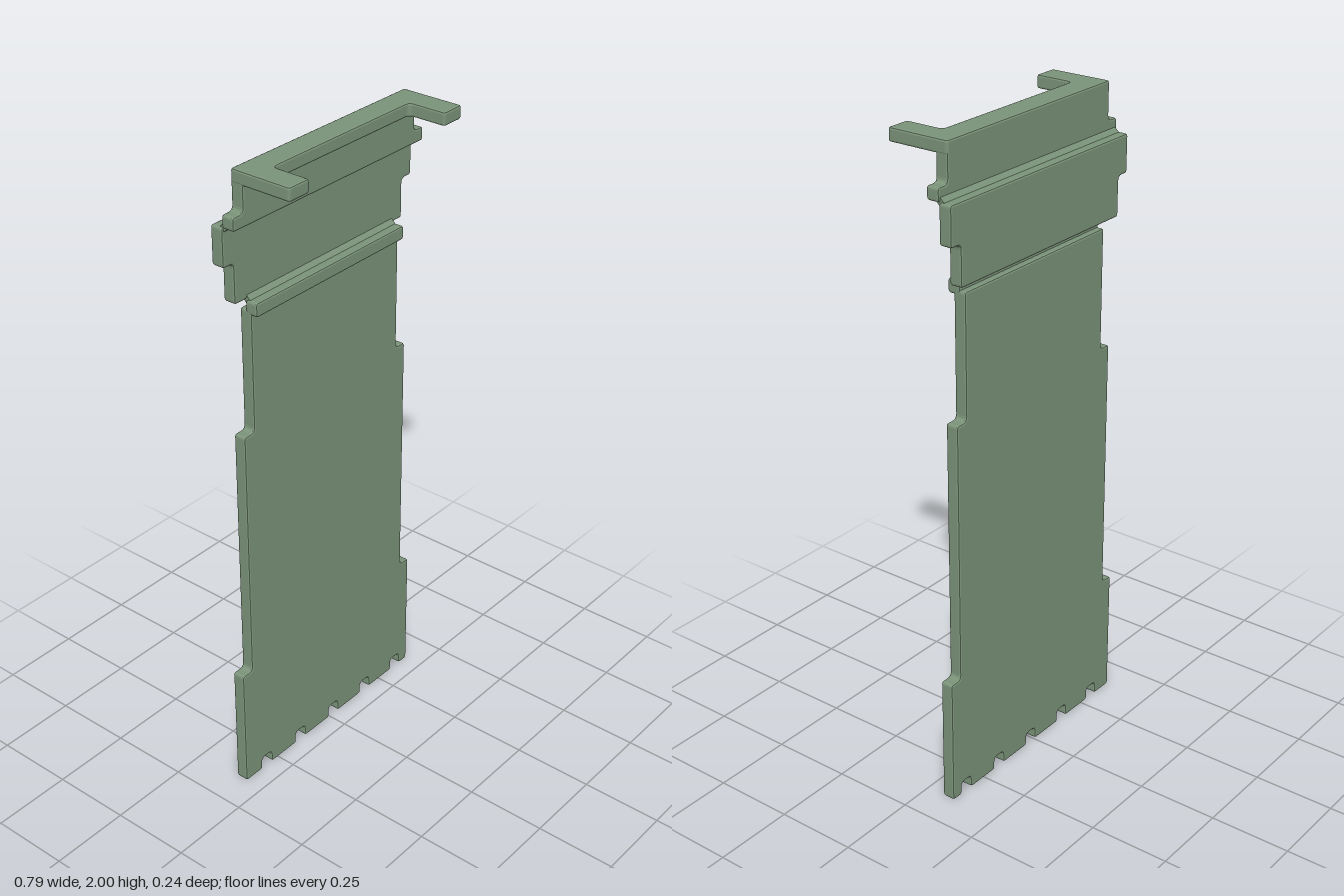
import * as THREE from 'three';

const BEVEL = 0.006;

// Closed counter-clockwise outline with softly rounded corners (inner corners rounder)
function roundedShape(points) {
  const shape = new THREE.Shape();
  const v = points.map(([x, y]) => new THREE.Vector2(x, y));
  v.forEach((p, i) => {
    const a = v[(i + v.length - 1) % v.length].clone().sub(p);
    const b = v[(i + 1) % v.length].clone().sub(p);
    const r = a.cross(b) < 0 ? 0.009 : 0.015;
    const start = a.setLength(r).add(p);
    const end = b.setLength(r).add(p);
    if (i === 0) shape.moveTo(start.x, start.y);
    else shape.lineTo(start.x, start.y);
    shape.quadraticCurveTo(p.x, p.y, end.x, end.y);
  });
  shape.closePath();
  return shape;
}

// Bevelled slab spanning z0..z1
function slab(points, z0, z1) {
  const geo = new THREE.ExtrudeGeometry(roundedShape(points), {
    depth: z1 - z0 - 2 * BEVEL,
    bevelThickness: BEVEL,
    bevelSize: BEVEL,
    bevelOffset: -BEVEL,
    bevelSegments: 2,
    curveSegments: 4,
  });
  geo.translate(0, 0, z0 + BEVEL);
  return geo;
}

// Right-hand outline listed bottom to top, mirrored to a full outline
const mirrored = (half) => [...half, ...half.map(([x, y]) => [-x, y]).reverse()];

export function createModel() {
  const model = new THREE.Group();
  const green = new THREE.MeshStandardMaterial({ color: 0x7c947a });
  green.name = 'sageGreen';

  const add = (name, geometry) => {
    const mesh = new THREE.Mesh(geometry, green);
    mesh.name = name;
    model.add(mesh);
    return mesh;
  };

  // Long stepped panel with a notched lower edge
  const notches = [-0.3, -0.142, 0.018, 0.176, 0.334];
  const lowerEdge = notches.flatMap((x) => [
    [x - 0.022, 0], [x - 0.022, 0.04], [x + 0.022, 0.04], [x + 0.022, 0],
  ]);
  add('longPanel', slab([
    [-0.395, 0], ...lowerEdge, [0.395, 0],
    [0.395, 0.4], [0.355, 0.4], [0.355, 1.207], [0.315, 1.207], [0.315, 1.582],
    [-0.315, 1.582], [-0.315, 1.207], [-0.355, 1.207], [-0.355, 0.4], [-0.395, 0.4],
  ], -0.1, -0.06));

  // Forward ridge above the long panel
  add('ridge', slab(mirrored([[0.315, 1.568], [0.315, 1.61]]), -0.08, -0.04));

  // Set-back panel with wider shoulders
  add('backPanel', slab(mirrored([
    [0.355, 1.61], [0.355, 1.73], [0.395, 1.73], [0.395, 1.846],
  ]), -0.12, -0.08));

  // Collar with a wide lip
  add('collar', slab(mirrored([
    [0.395, 1.845], [0.395, 1.885], [0.356, 1.885], [0.356, 1.99],
  ]), -0.08, -0.04));

  // Slim webs joining the offset layers
  for (const [name, halfWidth, y] of [['lowerWeb', 0.31, 1.61], ['upperWeb', 0.388, 1.846]]) {
    const web = add(name, new THREE.BoxGeometry(2 * halfWidth, 0.018, 0.018));
    web.position.set(0, y, -0.08);
    web.rotation.x = Math.PI / 4;
  }

  // Top bracket: a flat plate with two forward arms
  const bracket = slab([
    [-0.357, -0.118], [-0.28, -0.118], [-0.28, 0.002], [0.28, 0.002],
    [0.28, -0.118], [0.357, -0.118], [0.357, 0.08], [-0.357, 0.08],
  ], 1.96, 2);
  bracket.rotateX(-Math.PI / 2);
  add('topBracket', bracket);

  return model;
}
